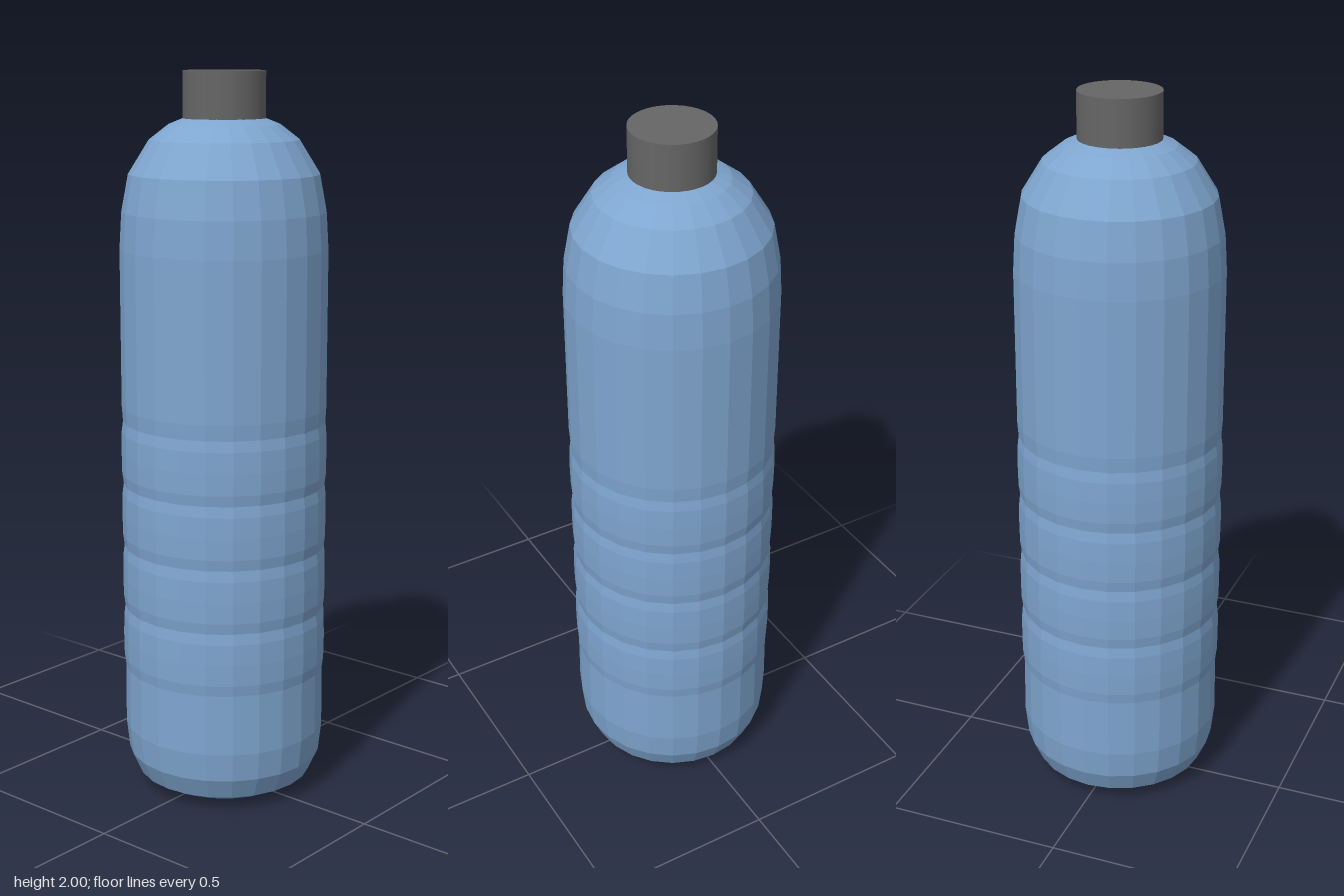
import * as THREE from 'three';

const lathe = (profile, sides) =>
  new THREE.LatheGeometry(profile.map(([r, y]) => new THREE.Vector2(r, y)), sides);

export function createModel() {
  const group = new THREE.Group();

  // Rounded base
  const profile = [[0, 0], [0.2, 0.016], [0.245, 0.04], [0.272, 0.1], [0.281, 0.18]];
  // Four shallow bulging bands around the lower half
  const bands = 4, bottom = 0.35, step = 0.177;
  for (let i = 0; i < bands; i++) {
    const y = bottom + i * step;
    profile.push([0.28, y], [0.284, y + 0.03], [0.285, y + step / 2], [0.284, y + step - 0.03]);
  }
  profile.push([0.28, bottom + bands * step], [0.283, 1.1], [0.283, 1.53]);
  // Domed shoulder, closed under the cap
  profile.push([0.277, 1.63], [0.258, 1.73], [0.202, 1.82], [0.15, 1.86], [0.1, 1.88], [0, 1.885]);

  const body = new THREE.Mesh(
    lathe(profile, 24),
    new THREE.MeshStandardMaterial({ color: 0x7fa6d0, flatShading: true })
  );
  body.name = 'bottleBody';
  group.add(body);

  // Screw cap
  const cap = new THREE.Mesh(
    new THREE.CylinderGeometry(0.111, 0.111, 0.13, 32),
    new THREE.MeshStandardMaterial({ color: 0x666666 })
  );
  cap.position.y = 1.935;
  cap.name = 'cap';
  group.add(cap);

  return group;
}
